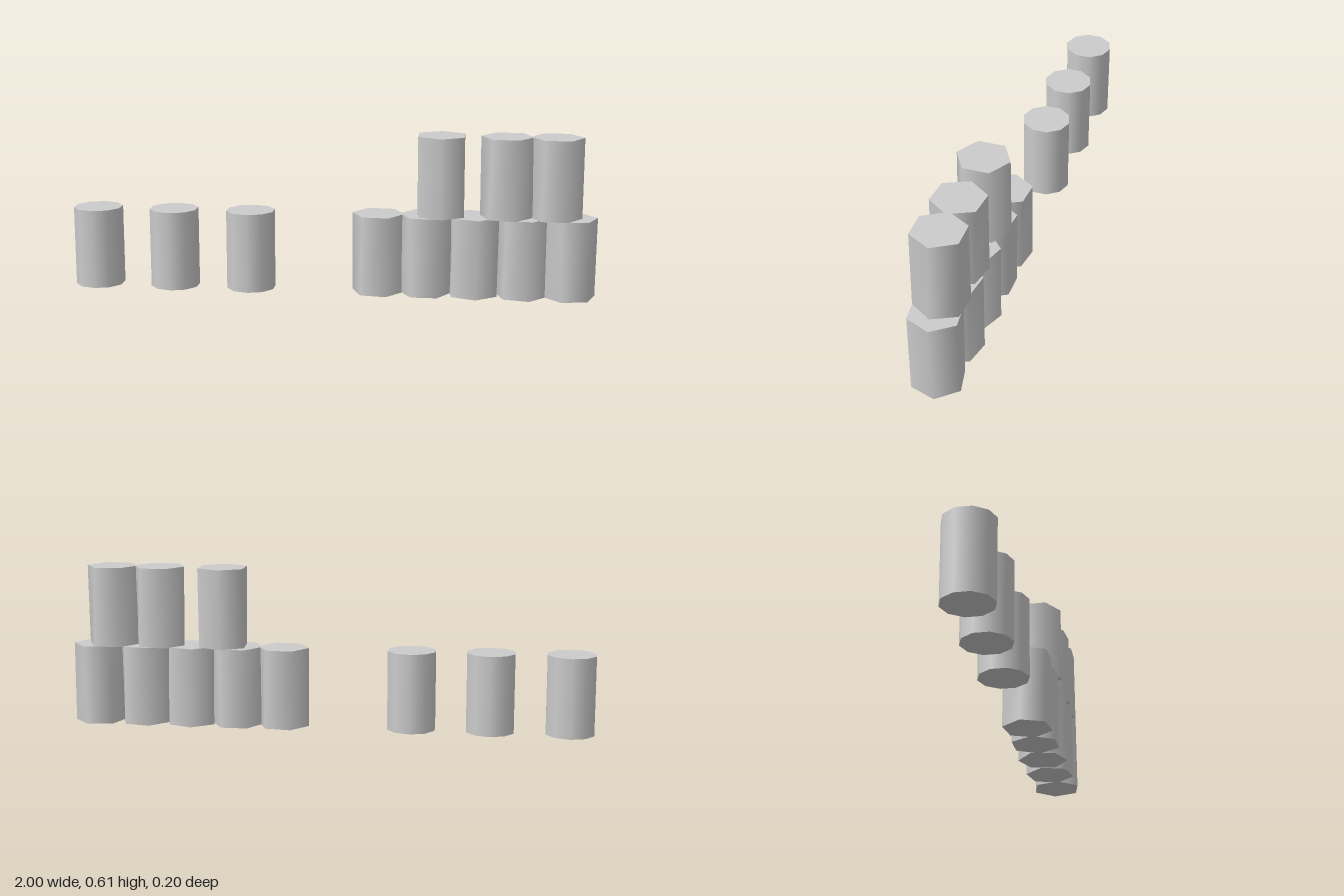
import * as THREE from 'three';

const HEIGHT = 0.303;
const material = new THREE.MeshStandardMaterial({ color: 0xcccccc });

// Upright can; the angle (degrees) places a corner from +x towards +z, the top ring is twisted.
function makeCan(name, sides, radius, x, level, angle, twist = 0) {
  const geometry = new THREE.CylinderGeometry(radius, radius, HEIGHT, sides);
  const { position, normal } = geometry.attributes;
  const up = new THREE.Vector3(0, 1, 0);
  const v = new THREE.Vector3();
  for (let i = 0; i < position.count; i++) {
    const turn = 90 - angle + (position.getY(i) > 0 ? twist : 0);
    for (const attribute of [position, normal]) {
      v.fromBufferAttribute(attribute, i).applyAxisAngle(up, THREE.MathUtils.degToRad(turn));
      attribute.setXYZ(i, v.x, v.y, v.z);
    }
  }
  const can = new THREE.Mesh(geometry, material);
  can.name = name;
  can.position.set(x, HEIGHT * (level + 0.5), 0);
  return can;
}

export function createModel() {
  const model = new THREE.Group();
  model.name = 'cans';

  // Three separate ten-sided cans
  const loose = new THREE.Group();
  loose.name = 'looseCans';
  [-0.906, -0.608, -0.31].forEach((x, i) => {
    loose.add(makeCan(`looseCan${i + 1}`, 10, 0.094, x, 0, 90));
  });

  // Stack of six-sided, slightly twisted cans: [x, level, angle, twist]
  const stack = new THREE.Group();
  stack.name = 'stackedCans';
  [
    [0.18, 0, 8, 5],
    [0.36, 0, 0, -5],
    [0.54, 0, 22, 5],
    [0.722, 0, 12, 5],
    [0.902, 0, -12, -5],
    [0.415, 1, 26, -4],
    [0.66, 1, 10, 5],
    [0.843, 1, 4, 5],
  ].forEach(([x, level, angle, twist], i) => {
    stack.add(makeCan(`stackedCan${i + 1}`, 6, 0.099, x, level, angle, twist));
  });

  model.add(loose, stack);
  return model;
}
